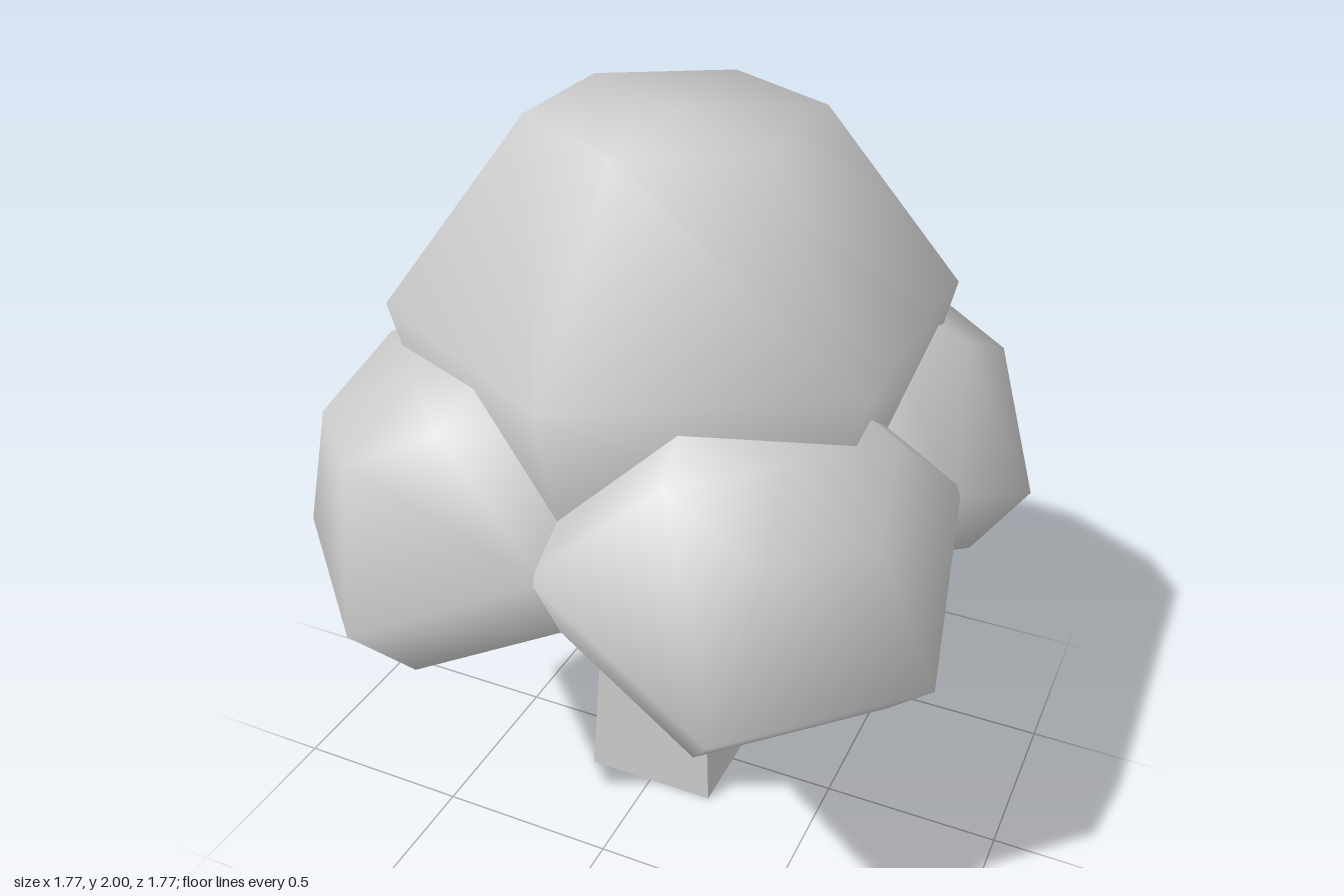
import * as THREE from 'three';

const material = new THREE.MeshStandardMaterial({ color: 0xcccccc });

function addMesh(parent, geometry, name) {
  const mesh = new THREE.Mesh(geometry, material);
  mesh.name = name;
  parent.add(mesh);
  return mesh;
}

// Six-sided foliage clump: smooth dome on a flat, sharp-edged underside.
// Its widest ring lies at local y = 0.
function makeClump(name, radius, baseRadius, topRadius, down, up) {
  const clump = new THREE.Group();
  clump.name = name;
  const profile = [[baseRadius, -down], [radius, 0], [topRadius, up], [0, up]]
    .map(([r, y]) => new THREE.Vector2(r, y));
  addMesh(clump, new THREE.LatheGeometry(profile, 6), name + 'Dome');
  const base = new THREE.CircleGeometry(baseRadius, 6, Math.PI / 2);
  base.rotateX(Math.PI / 2).translate(0, -down, 0);
  addMesh(clump, base, name + 'Underside');
  return clump;
}

// Tapered square bar standing on y = 0
function taperedBar(bottomHalf, topHalf, height) {
  const bar = new THREE.CylinderGeometry(
    topHalf * Math.SQRT2, bottomHalf * Math.SQRT2, height, 4, 1, false, Math.PI / 4).toNonIndexed();
  bar.computeVertexNormals();
  return bar.translate(0, height / 2, 0);
}

export function createModel() {
  const tree = new THREE.Group();
  tree.name = 'tree';

  // Trunk
  addMesh(tree, taperedBar(0.19, 0.13, 1.12), 'trunk');

  // One branch leaving each trunk face, the front and back ones lying flatter
  for (let i = 0; i < 4; i++) {
    const pitch = THREE.MathUtils.degToRad(i % 2 ? 53 : 36);
    const thickness = 0.11;
    const pivot = new THREE.Group();
    pivot.name = 'branchPivot';
    pivot.rotation.y = i * Math.PI / 2;
    const geometry = taperedBar(0.098, 0.06, 0.6);
    geometry.scale(1, 1, thickness / 0.19);
    geometry.computeVertexNormals();
    const branch = addMesh(pivot, geometry, 'branch');
    branch.rotation.x = Math.PI / 2 - pitch;
    branch.position.set(0, 0.65 + Math.cos(pitch) * thickness / 2 - 0.1 * Math.sin(pitch),
      0.155 - Math.sin(pitch) * thickness / 2 - 0.1 * Math.cos(pitch));
    tree.add(pivot);
  }

  // Crown
  const crown = makeClump('crown', 0.74, 0.66, 0.37, 0.33, 0.48);
  crown.position.y = 1.52;
  tree.add(crown);

  // Four side clumps on the diagonals, each tipped outwards
  for (let i = 0; i < 4; i++) {
    const pivot = new THREE.Group();
    pivot.name = 'sideClumpPivot';
    pivot.rotation.y = Math.PI / 4 + i * Math.PI / 2;
    const clump = makeClump('sideClump', 0.572, 0.51, 0.286, 0.227, 0.32);
    clump.children.forEach((part) => part.geometry.rotateY(Math.PI / 6));
    clump.rotation.x = Math.PI / 6;
    clump.position.set(0, 1.117, 0.537);
    pivot.add(clump);
    tree.add(pivot);
  }
  return tree;
}
